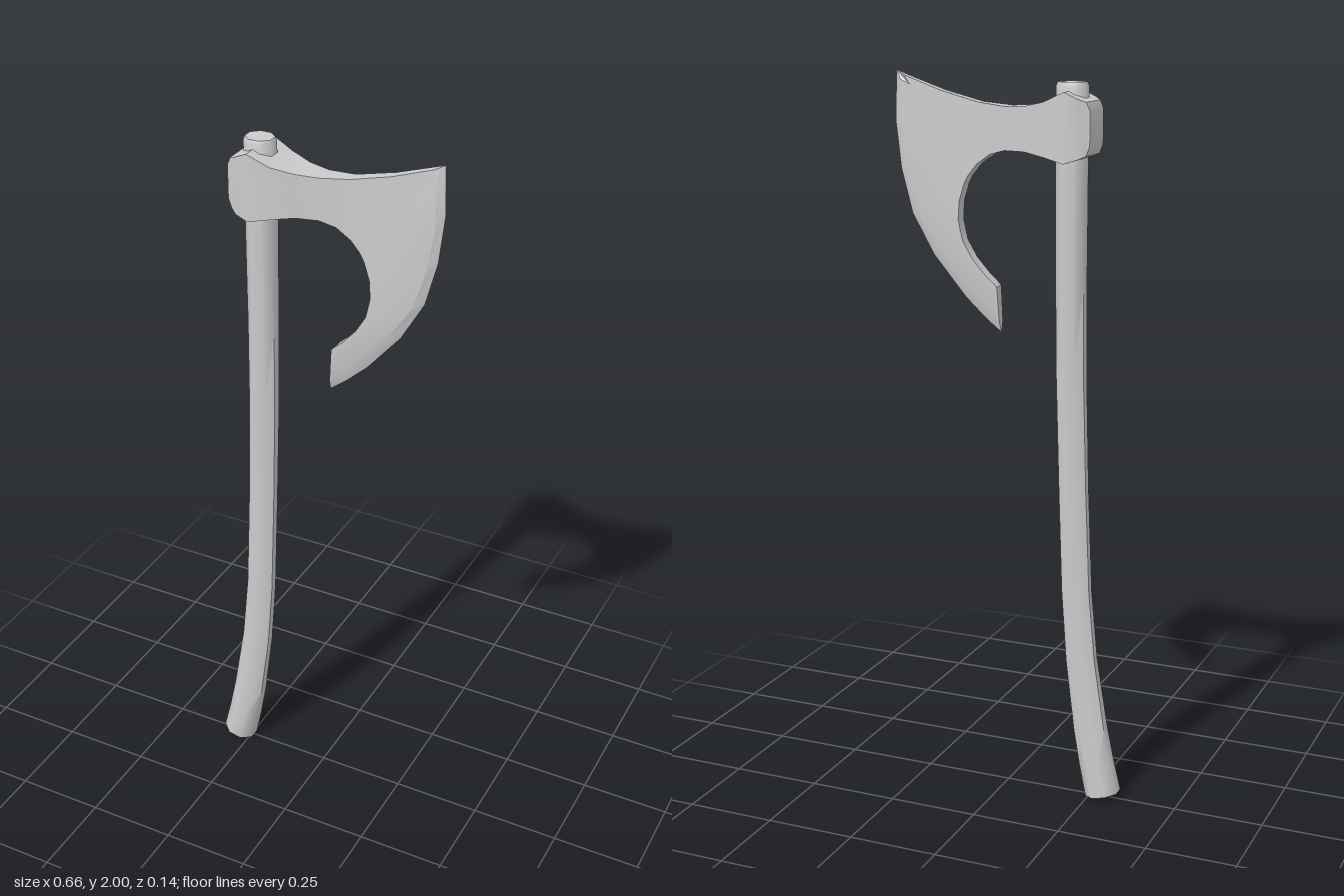
import * as THREE from 'three';
import { toCreasedNormals } from 'three/addons/utils/BufferGeometryUtils.js';

// Skin a closed solid over rings of equal point count, capping both ends
function loft(rings, crease) {
  const n = rings[0].length, pos = [];
  const tri = (...pts) => pts.forEach((p) => pos.push(p.x, p.y, p.z));
  for (let i = 0; i < rings.length - 1; i++) {
    for (let j = 0; j < n; j++) {
      const k = (j + 1) % n, r = rings[i], s = rings[i + 1];
      tri(r[j], r[k], s[k]);
      tri(r[j], s[k], s[j]);
    }
  }
  const centre = (r) => r.reduce((a, p) => a.add(p), new THREE.Vector3()).divideScalar(n);
  const first = rings[0], last = rings[rings.length - 1];
  const c0 = centre(first), c1 = centre(last);
  for (let j = 0; j < n; j++) {
    const k = (j + 1) % n;
    tri(c0, first[k], first[j]);
    tri(c1, last[j], last[k]);
  }
  const g = new THREE.BufferGeometry();
  g.setAttribute('position', new THREE.Float32BufferAttribute(pos, 3));
  return toCreasedNormals(g, crease);
}

// Eight-sided curved shaft: [centre x, y, half width, half depth]
function handleGeometry() {
  const stations = [
    [-0.288, 0.012, 0.047, 0.042], [-0.268, 0.1, 0.046, 0.04], [-0.249, 0.2, 0.045, 0.035],
    [-0.22, 0.4, 0.042, 0.029], [-0.203, 0.6, 0.04, 0.027], [-0.191, 0.9, 0.039, 0.027],
    [-0.182, 1.2, 0.039, 0.03], [-0.179, 1.45, 0.039, 0.034], [-0.178, 1.75, 0.04, 0.036],
    [-0.178, 1.97, 0.04, 0.036], [-0.178, 1.98, 0.036, 0.032],
  ];
  const rings = stations.map(([x, y, w, d], i) => {
    const a = stations[Math.max(i - 1, 0)], b = stations[Math.min(i + 1, stations.length - 1)];
    const tilt = Math.atan2(b[0] - a[0], b[1] - a[1]);
    return Array.from({ length: 8 }, (_, j) => {
      const t = ((j + 0.5) * Math.PI) / 4, k = 1 / Math.cos(Math.PI / 8);
      const u = Math.cos(t) * w * k;
      return new THREE.Vector3(x + u * Math.cos(tilt), y - u * Math.sin(tilt), -Math.sin(t) * d * k);
    });
  });
  return loft(rings, 0.9);
}

// Head section: inner (lower) point, outer (upper) point, half thickness at each.
// A cutting-edge section keeps its thickness until a narrow bevel.
function headRing([ix, iy, ox, oy, tIn, tOut, sharp]) {
  const f = Math.min(0.03 / Math.hypot(ox - ix, oy - iy), 0.4);
  const at = (s, z) => new THREE.Vector3(ox + (ix - ox) * s, oy + (iy - oy) * s, z);
  const tMid = tOut + (tIn - tOut) * f;
  const tEdge = sharp ? 0.001 : tOut;
  return [at(0, tEdge), at(f, tMid), at(1, tIn), at(1, -tIn), at(f, -tMid), at(0, -tEdge)];
}

function headGeometry() {
  // Poll, eye and neck: [x, bottom, top, half thickness]
  const socket = [
    [-0.245, 1.82, 1.91, 0.05], [-0.235, 1.795, 1.932, 0.052], [-0.217, 1.787, 1.94, 0.065],
    [-0.18, 1.775, 1.957, 0.07], [-0.12, 1.79, 1.93, 0.061], [-0.06, 1.8, 1.917, 0.043],
    [0, 1.8, 1.914, 0.029],
  ].map(([x, b, t, z]) => [x, b, x, t, z, z, false]);
  // Sections fanning round the beard
  const blade = [
    [0.045, 1.788, 0.08, 1.922, 0.022, 0.018, false],
    [0.085, 1.76, 0.19, 1.95, 0.019, 0.015, false],
    [0.11, 1.73, 0.3, 1.988, 0.018, 0.012, false],
    [0.122, 1.708, 0.325, 2.0, 0.018, 0.012, true],
    [0.137, 1.66, 0.33, 1.87, 0.018, 0.012, true],
    [0.14, 1.61, 0.315, 1.74, 0.018, 0.012, true],
    [0.128, 1.555, 0.283, 1.62, 0.018, 0.012, true],
    [0.1, 1.508, 0.22, 1.51, 0.018, 0.012, true],
    [0.064, 1.468, 0.126, 1.4, 0.018, 0.012, true],
    [0.038, 1.445, 0.066, 1.345, 0.017, 0.011, true],
    [0.029, 1.435, 0.021, 1.31, 0.016, 0.011, true],
  ];
  return loft([...socket, ...blade].map(headRing), 0.5);
}

export function createModel() {
  const group = new THREE.Group();
  group.name = 'beardedAxe';
  const material = new THREE.MeshStandardMaterial({ color: 0xcccccc });
  const add = (name, geometry) => {
    const mesh = new THREE.Mesh(geometry, material);
    mesh.name = name;
    group.add(mesh);
  };
  add('handle', handleGeometry());
  add('axeHead', headGeometry());
  return group;
}
